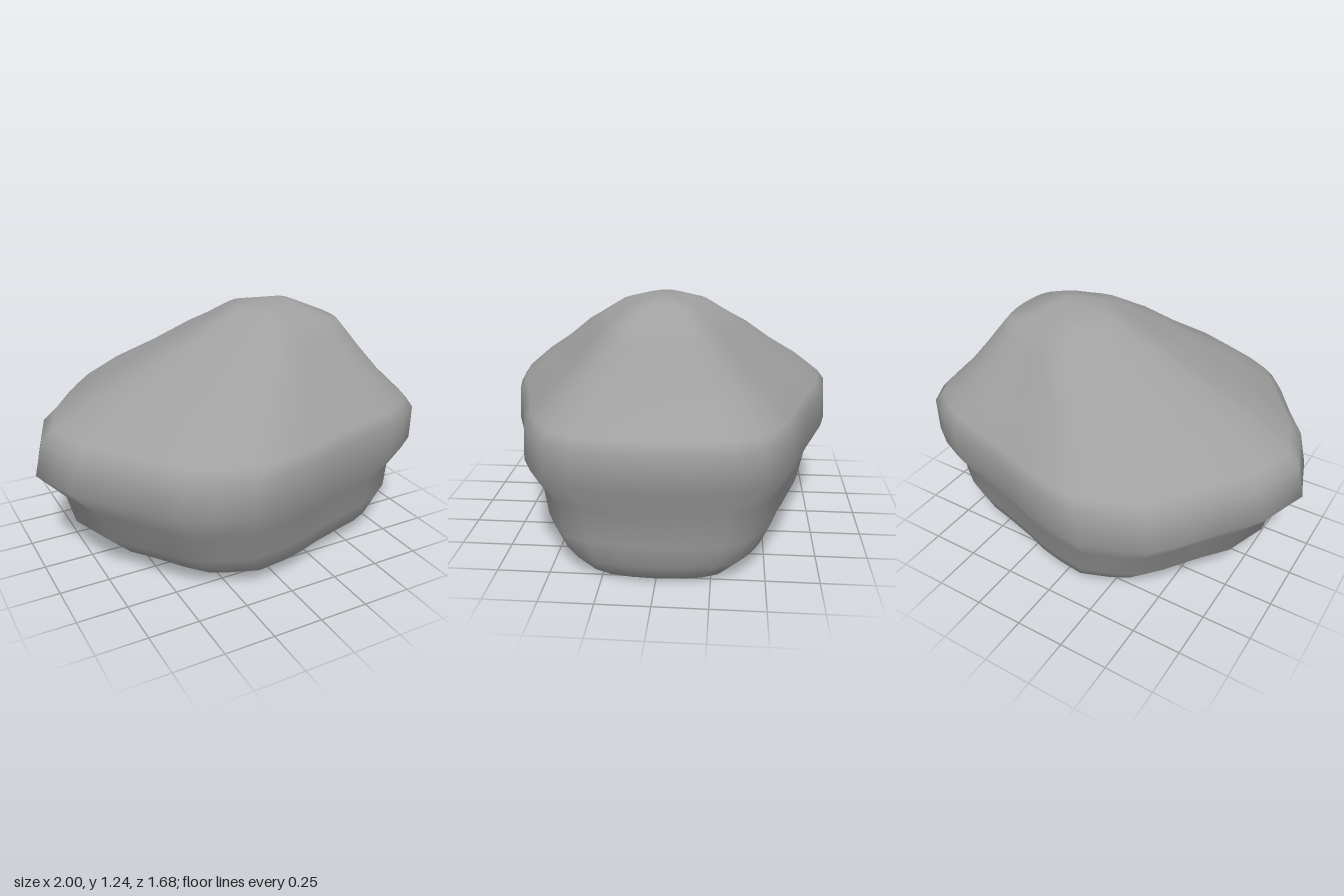
import * as THREE from 'three';

// Half outline seen from above: [x, z], from the pointed left end to the blunt right end
const OUTLINE = [
  [-1, 0], [-0.955, 0.15], [-0.91, 0.31], [-0.79, 0.49], [-0.66, 0.71], [-0.56, 0.845], [-0.44, 0.92],
  [-0.26, 1], [-0.08, 0.976], [0.07, 0.94], [0.24, 0.87], [0.45, 0.8], [0.65, 0.74],
  [0.78, 0.67], [0.9, 0.57], [0.96, 0.42], [0.99, 0.22], [1, 0],
];

// Height levels: [y, min x, max x, half depth]
const LEVELS = [
  [0.005, -0.28, 0.62, 0.4], [0.02, -0.42, 0.8, 0.5], [0.09, -0.68, 0.83, 0.64],
  [0.22, -0.82, 0.885, 0.715], [0.37, -0.86, 0.885, 0.75], [0.52, -1, 0.985, 0.84],
  [0.69, -0.96, 0.995, 0.825], [0.74, -0.9, 0.95, 0.79], [0.86, -0.69, 0.83, 0.655],
  [0.97, -0.44, 0.745, 0.51], [1.08, -0.21, 0.665, 0.385], [1.13, -0.1, 0.63, 0.31],
  [1.2, 0.04, 0.47, 0.2], [1.225, 0.1, 0.41, 0.1],
];

export function createModel() {
  const group = new THREE.Group();
  const stone = new THREE.MeshStandardMaterial({ color: 0xa0a0a0 });
  stone.name = 'grey stone';

  // Full ring, front half mirrored to the back
  const ring = [...OUTLINE, ...OUTLINE.slice(1, -1).reverse().map(([x, z]) => [x, -z])];
  const n = ring.length;
  const positions = [];
  const index = [];

  LEVELS.forEach(([y, x0, x1, depth], k) => {
    for (const [u, w] of ring) {
      positions.push((x0 + x1) / 2 + u * (x1 - x0) / 2, y, w * depth);
    }
    if (k === 0) return;
    for (let i = 0; i < n; i++) {
      const a = (k - 1) * n + i;
      const b = (k - 1) * n + (i + 1) % n;
      index.push(a, b, b + n, a, b + n, a + n);
    }
  });

  // Flat underside and rounded peak
  const base = positions.length / 3;
  const peak = base + 1;
  positions.push(0.15, 0, 0, 0.34, 1.243, 0);
  const last = (LEVELS.length - 1) * n;
  for (let i = 0; i < n; i++) {
    const j = (i + 1) % n;
    index.push(base, j, i, peak, last + i, last + j);
  }

  const geometry = new THREE.BufferGeometry();
  geometry.setAttribute('position', new THREE.Float32BufferAttribute(positions, 3));
  geometry.setIndex(index);
  geometry.computeVertexNormals();

  const rock = new THREE.Mesh(geometry, stone);
  rock.name = 'boulder';
  group.add(rock);
  return group;
}
